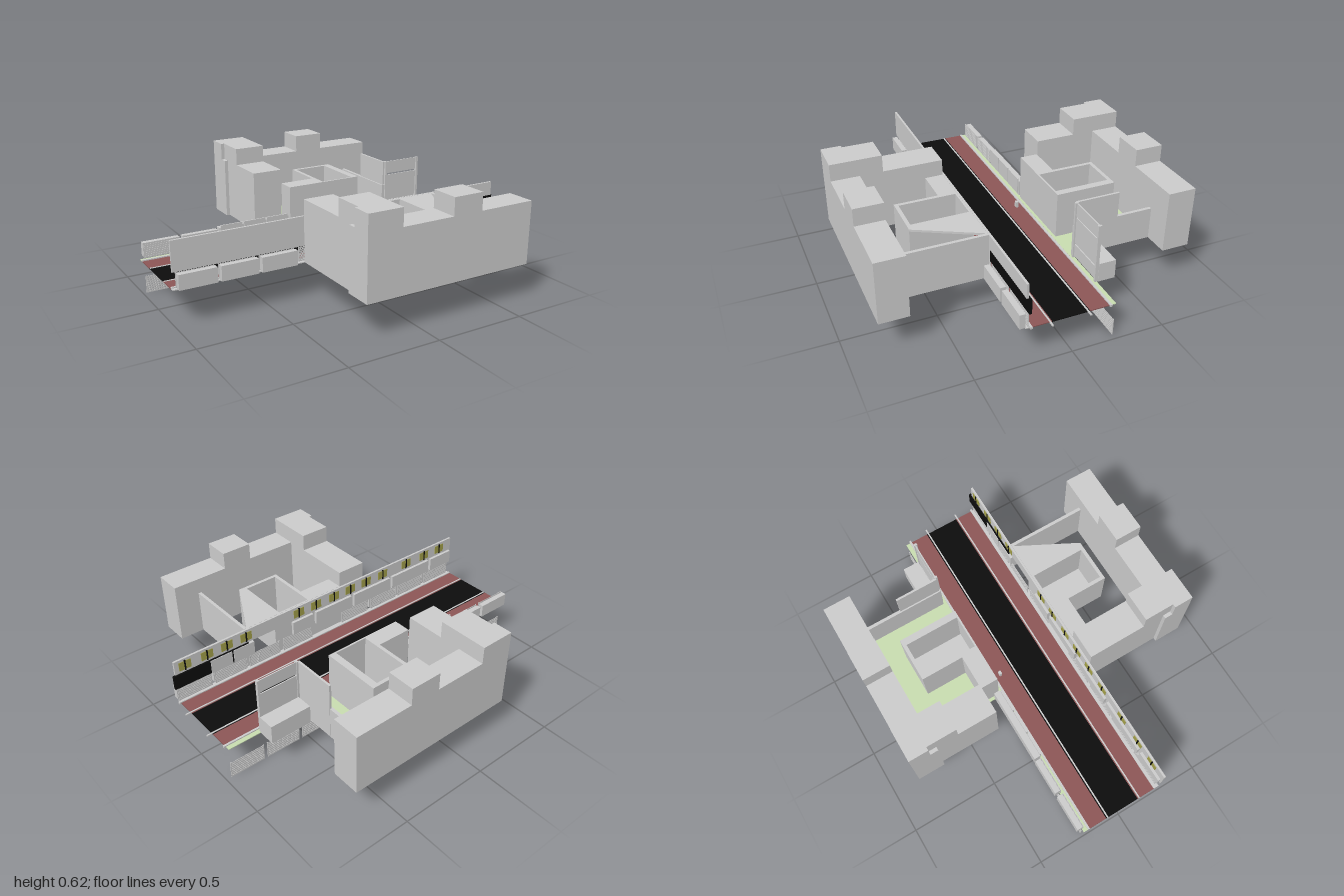
import * as THREE from 'three';

const mat = (color) => new THREE.MeshStandardMaterial({ color, side: THREE.DoubleSide });
const grey = mat(0xcccccc), black = mat(0x0c0c0c), red = mat(0x8c5656);
const green = mat(0xc8dcb0), olive = mat(0xa3a04a);

// Box given by its limits on each axis
function box(parent, name, x0, x1, y0, y1, z0, z1, material = grey) {
  const mesh = new THREE.Mesh(new THREE.BoxGeometry(x1 - x0, y1 - y0, Math.abs(z1 - z0)), material);
  mesh.position.set((x0 + x1) / 2, (y0 + y1) / 2, (z0 + z1) / 2);
  mesh.name = name;
  parent.add(mesh);
  return mesh;
}

function group(parent, name) {
  const g = new THREE.Group();
  g.name = name;
  parent.add(g);
  return g;
}

// Railing panel of horizontal slats between two posts
function railing(parent, x0, x1, y0, y1, z) {
  const g = group(parent, 'railing');
  const n = 8, step = (y1 - y0) / n;
  for (let i = 0; i < n; i++) {
    box(g, 'slat', x0, x1, y0 + i * step, y0 + (i + 0.8) * step, z - 0.001, z + 0.001);
  }
  for (const x of [x0, x1 - 0.006]) box(g, 'post', x, x + 0.006, y0, y1, z - 0.002, z + 0.002);
}

// Building block on one side of the street (s = 1 front, -1 back)
function building(root, s) {
  const g = group(root, s > 0 ? 'frontBuilding' : 'backBuilding');
  const G = 0.19, top = 0.53, high = 0.625, mid = s > 0 ? 0.44 : 0.45;
  const b = (name, x0, x1, y1, z0, z1) => box(g, name, x0, x1, G, y1, s * z0, s * z1);
  const wingStart = s > 0 ? 0.235 : 0.34;
  b('mainBar', -0.305, 0.68, top, 0.69, 0.845);
  b('cornerTower', -0.285, -0.112, high, 0.565, 0.74);
  b('cornerTowerBack', -0.305, -0.112, high, 0.735, 0.845);
  b('middleTower', 0.182, 0.355, high, 0.69, 0.845);
  b('sideWing', -0.285, -0.112, top, wingStart, 0.69);
  b('annex', -0.112, 0.09, mid, 0.235, 0.335);
  // Open-topped room
  b('roomFloor', 0.09, 0.345, 0.2, 0.235, 0.575);
  b('roomRightWall', 0.09, 0.11, mid, 0.235, 0.575);
  b('roomLeftWall', 0.305, 0.345, mid, 0.235, 0.575);
  b('roomEndWall', 0.11, 0.305, mid, 0.555, 0.575);
  b('roomStreetWall', 0.11, 0.305, mid, 0.235, 0.245);
  // Courtyard wall
  b('courtWall', 0.522, 0.54, s > 0 ? 0.44 : 0.37, 0.235, 0.69);
}

export function createModel() {
  const root = new THREE.Group();
  root.name = 'streetBlock';

  // Roadway and pavements
  const street = group(root, 'street');
  box(street, 'road', -1, 0.97, 0.186, 0.19, -0.1, 0.1, black);
  for (const s of [1, -1]) {
    box(street, 'pavement', -1, 0.97, 0.186, 0.191, s * 0.1, s * 0.212, red);
    box(street, 'kerb', -1, 0.98, 0.186, 0.197, s * 0.203, s * 0.215);
  }
  for (const z of [0.11, -0.09]) box(street, 'kerbLine', -1, 1, 0.186, 0.193, z - 0.004, z + 0.004);
  box(street, 'grassVerge', -1, 0.97, 0.187, 0.191, -0.24, -0.215, green);
  box(street, 'frontVerge', -1, 0.97, 0.187, 0.192, 0.215, 0.235);
  box(street, 'courtLawn', -0.13, 0.53, 0.187, 0.192, -0.69, -0.22, green);
  box(street, 'bollard', -0.03, -0.01, 0.19, 0.225, -0.18, -0.165);

  building(root, 1);
  building(root, -1);

  // Triangular canopy beside the front room
  const tri = new THREE.Shape([[0.345, 0.235], [0.525, 0.235], [0.345, 0.575]]
    .map(([x, z]) => new THREE.Vector2(x, z)));
  const canopy = new THREE.Mesh(new THREE.ExtrudeGeometry(tri, { depth: 0.012, bevelEnabled: false }), grey);
  canopy.rotation.x = Math.PI / 2;
  canopy.position.y = 0.44;
  canopy.name = 'canopy';
  root.add(canopy);

  // Low railings below the back verge, and railings with planters on the street
  const bays = [-0.98, -0.76, -0.54, -0.315, 0.105, 0.33, 0.55, 0.77];
  const rails = group(root, 'railings');
  const planters = group(root, 'planters');
  bays.forEach((x, i) => {
    railing(rails, x, x + 0.2, 0, 0.095, -0.235);
    railing(rails, x, x + 0.2, 0.195, 0.275, 0.222);
    if (i < 3 || i > 5) box(planters, 'frontPlanter', x, x + 0.2, 0.195, 0.275, 0.236, 0.266);
    if (i < 2) {
      railing(rails, x, x + 0.2, 0.195, 0.28, -0.236);
      box(planters, 'backPlanter', x, x + 0.2, 0.2, 0.275, -0.272, -0.242);
    }
  });

  // Back display bench with three framed boards
  const display = group(root, 'backDisplay');
  box(display, 'displayBody', -0.55, -0.125, 0.195, 0.285, -0.27, -0.235);
  for (let i = 0; i < 3; i++) {
    const x = -0.545 + i * 0.14;
    box(display, 'displayBoard', x, x + 0.13, 0.21, 0.3, -0.235, -0.228);
  }

  // Long overhead fascia with lit panels on its street side
  const fascia = group(root, 'fascia');
  box(fascia, 'fasciaBand', -1, 0.97, 0.36, 0.44, 0.222, 0.234);
  for (const x of [0.91, 0.78, 0.66, 0.54, 0.19, 0.07, -0.06, -0.18, -0.3, -0.43, -0.62, -0.77, -0.9]) {
    box(fascia, 'fasciaPanel', x - 0.035, x + 0.035, 0.375, 0.425, 0.219, 0.223, olive);
    box(fascia, 'panelDivider', x - 0.004, x + 0.004, 0.37, 0.43, 0.217, 0.222, black);
  }
  box(fascia, 'outerBoard', -1, -0.28, 0.28, 0.37, 0.226, 0.234);
  box(fascia, 'darkShutter', 0.53, 0.985, 0.28, 0.36, 0.212, 0.226, black);
  for (const [x0, x1] of [[-0.99, -0.82], [-0.8, -0.5], [-0.48, -0.2], [-0.18, 0.08], [0.1, 0.24], [0.5, 0.63], [0.64, 0.77]]) {
    box(fascia, 'hangingBoard', x0, x1, 0.28, 0.358, 0.208, 0.225);
  }

  // Tall gate beside the back courtyard with a low block behind it
  const gate = group(root, 'gate');
  box(gate, 'sideGatePanel', 0.53, 0.542, 0.2, 0.513, -0.485, -0.24);
  for (const [y0, y1] of [[0.2, 0.27], [0.28, 0.43], [0.44, 0.513]]) {
    box(gate, 'gatePanel', 0.545, 0.78, y0, y1, -0.242, -0.236);
  }
  for (const x of [0.54, 0.77]) box(gate, 'gatePost', x, x + 0.013, 0.19, 0.515, -0.246, -0.228);
  box(gate, 'lowBlock', 0.55, 0.785, 0.19, 0.295, -0.34, -0.246);

  return root;
}
